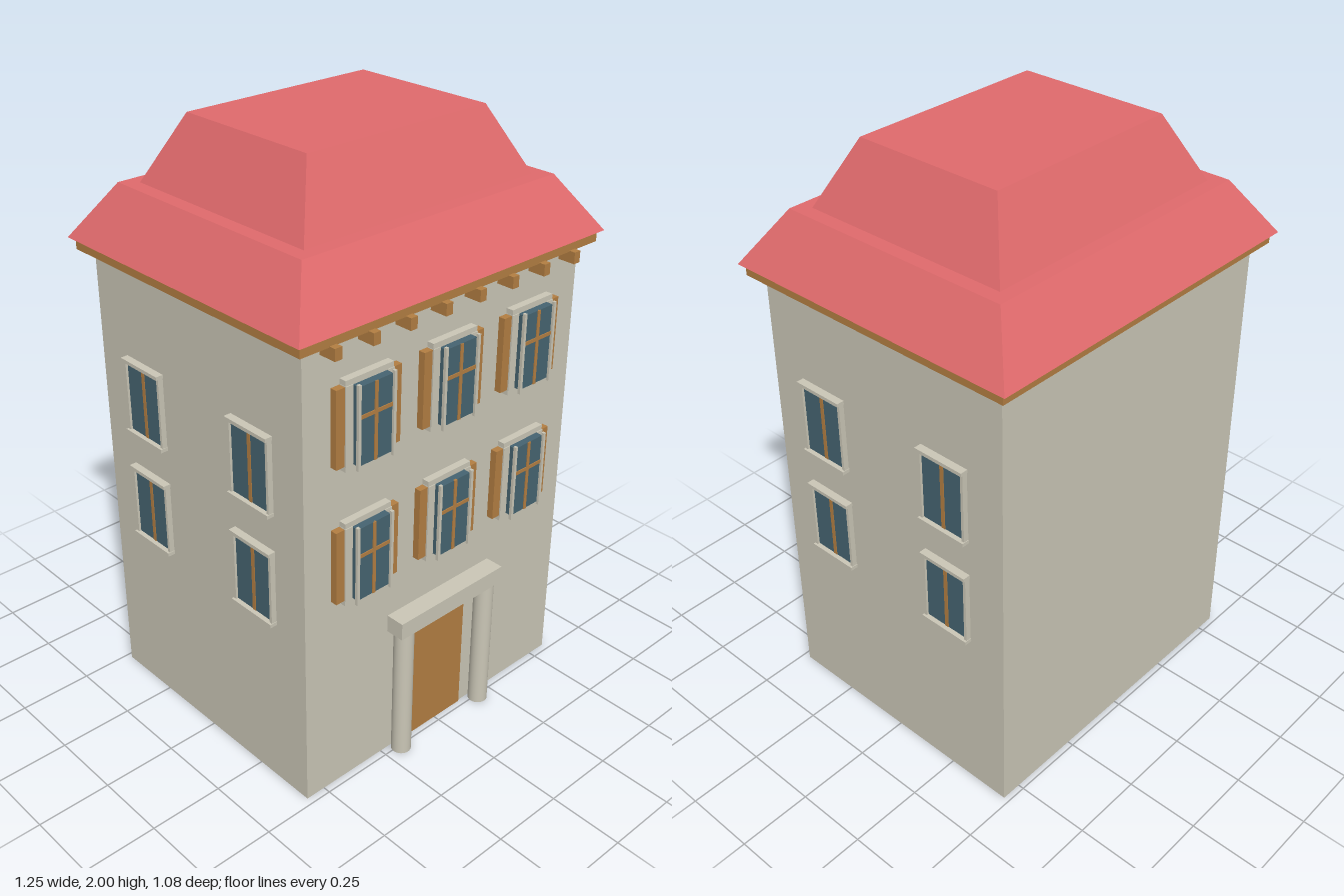
import * as THREE from 'three';

const mat = (name, color) => Object.assign(new THREE.MeshStandardMaterial({ color }), { name });

export function createModel() {
  const stone = mat('stone', 0xcac6b6);
  const wood = mat('wood', 0xb37e42);
  const glass = mat('glass', 0x466471);
  const roofRed = mat('roof red', 0xe06a6c);
  const house = new THREE.Group();
  house.name = 'house';

  const add = (parent, name, geometry, material) => {
    const m = new THREE.Mesh(geometry, material);
    m.name = name;
    parent.add(m);
    return m;
  };
  // Box given by its limits on each axis
  const box = (parent, name, material, x0, x1, y0, y1, z0, z1) => {
    const g = new THREE.BoxGeometry(x1 - x0, y1 - y0, z1 - z0);
    g.translate((x0 + x1) / 2, (y0 + y1) / 2, (z0 + z1) / 2);
    return add(parent, name, g, material);
  };
  // Hipped roof stage: a box whose top corners are drawn inward
  const hip = (name, y0, y1, w0, d0, w1, d1) => {
    const g = new THREE.BoxGeometry(w0, y1 - y0, d0);
    const p = g.attributes.position;
    for (let i = 0; i < p.count; i++) {
      if (p.getY(i) > 0) {
        p.setX(i, p.getX(i) * w1 / w0);
        p.setZ(i, p.getZ(i) * d1 / d0);
      }
    }
    g.translate(0, (y0 + y1) / 2, -0.004);
    g.computeVertexNormals();
    return add(house, name, g, roofRed);
  };

  // Walls, cornice and the two roof stages
  box(house, 'walls', stone, -0.57, 0.57, 0, 1.57, -0.48, 0.475);
  box(house, 'cornice', wood, -0.61, 0.61, 1.57, 1.607, -0.52, 0.515);
  hip('lowerRoof', 1.607, 1.785, 1.25, 1.07, 1.016, 0.83);
  hip('upperRoof', 1.785, 2, 0.92, 0.738, 0.706, 0.526);

  // Row of brackets under the front cornice
  for (let i = 0; i < 8; i++) {
    const x = -0.493 + i * 0.141;
    box(house, 'bracket', wood, x - 0.013, x + 0.013, 1.535, 1.573, 0.47, 0.536);
  }

  // Entrance
  box(house, 'door', wood, -0.12, 0.12, 0, 0.42, 0.47, 0.479);
  box(house, 'lintel', stone, -0.23, 0.23, 0.48, 0.54, 0.47, 0.54);
  for (const s of [-1, 1]) {
    const column = add(house, 'column', new THREE.CylinderGeometry(0.033, 0.033, 0.48, 24), stone);
    column.position.set(s * 0.186, 0.24, 0.506);
  }

  // Front windows with shutters; local z = 0 is the wall face
  const frontWindow = (x, y) => {
    const w = new THREE.Group();
    w.name = 'frontWindow';
    box(w, 'pane', glass, -0.065, 0.065, -0.125, 0.125, -0.01, 0.05);
    box(w, 'mullion', wood, -0.006, 0.006, -0.125, 0.125, 0.045, 0.053);
    box(w, 'transom', wood, -0.065, 0.065, 0.024, 0.036, 0.045, 0.053);
    box(w, 'head', stone, -0.092, 0.092, 0.125, 0.144, -0.01, 0.025);
    box(w, 'sill', stone, -0.092, 0.092, -0.144, -0.125, -0.01, 0.025);
    for (const s of [-1, 1]) {
      const c = s * 0.079;
      box(w, 'jamb', stone, c - 0.014, c + 0.014, -0.127, 0.127, -0.01, 0.028);
      box(w, 'casementEdge', stone, s * 0.068 - 0.005, s * 0.068 + 0.005, -0.135, 0.135, 0.048, 0.058);
      box(w, 'shutter', wood, s * 0.109 - 0.016, s * 0.109 + 0.016, -0.125, 0.125, -0.01, 0.023);
    }
    w.position.set(x, y, 0.475);
    house.add(w);
  };
  for (const y of [0.836, 1.296]) for (const x of [-0.342, 0, 0.342]) frontWindow(x, y);

  // Plain side windows, turned to face outward
  const sideWindow = (side, y, z) => {
    const w = new THREE.Group();
    w.name = 'sideWindow';
    box(w, 'pane', glass, -0.08, 0.08, -0.12, 0.12, -0.01, 0.01);
    box(w, 'mullion', wood, -0.007, 0.007, -0.12, 0.12, 0, 0.012);
    box(w, 'head', stone, -0.092, 0.092, 0.12, 0.132, -0.01, 0.026);
    box(w, 'sill', stone, -0.092, 0.092, -0.132, -0.12, -0.01, 0.026);
    for (const s of [-1, 1]) {
      box(w, 'jamb', stone, s * 0.085 - 0.005, s * 0.085 + 0.005, -0.122, 0.122, -0.01, 0.018);
    }
    w.rotation.y = side * Math.PI / 2;
    w.position.set(side * 0.57, y, z);
    house.add(w);
  };
  for (const side of [-1, 1]) {
    for (const y of [0.74, 1.126]) for (const z of [-0.255, 0.255]) sideWindow(side, y, z);
  }
  return house;
}
